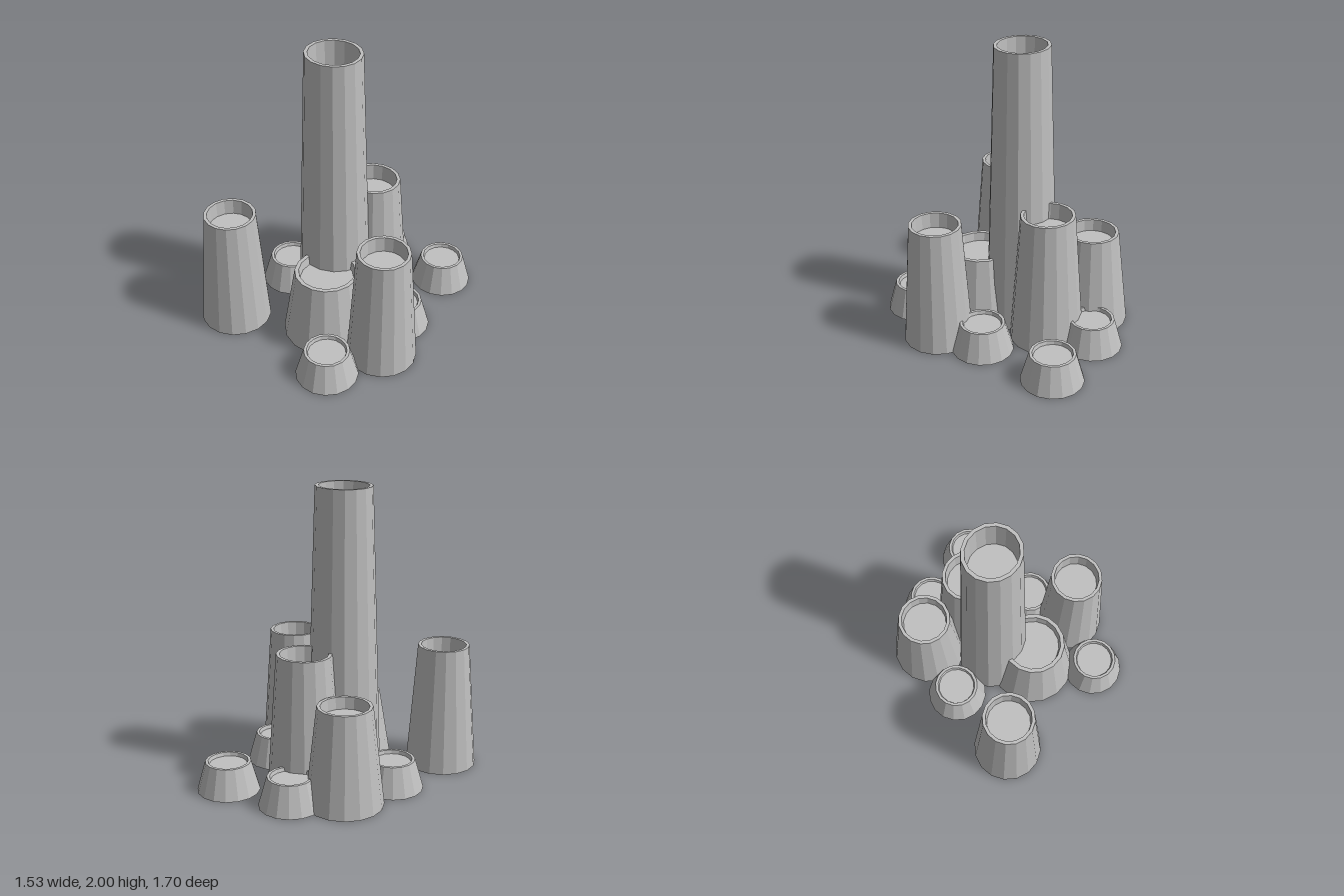
import * as THREE from 'three';

const SIDES = 16;
const FLAT = Math.cos(Math.PI / SIDES); // distance to a flat side / distance to a corner

// Tapered chimney with a rim and a recessed mouth; flat sides face both the x and z axes
function chimney(base, top, height) {
  const profile = [
    [0, 0],
    [base, 0],
    [top, height],
    [top * 0.875, height],
    [top * 0.83, height * 0.88],
    [0, height * 0.88],
  ].map(([r, y]) => new THREE.Vector2(r / FLAT, y));
  return new THREE.LatheGeometry(profile, SIDES, Math.PI / SIDES);
}

export function createModel() {
  const group = new THREE.Group();
  const stone = new THREE.MeshStandardMaterial({ color: 0xc0c0c0, flatShading: true });
  stone.name = 'pale grey stone';

  // name, x, z, base half width, top half width, height, depth ratio (z extent / x extent)
  const vents = [
    ['tallChimney', -0.06, 0.011, 0.253, 0.188, 2.0, 0.95],
    ['backRightChimney', -0.335, -0.385, 0.254, 0.178, 0.68, 1],
    ['backChimney', 0.045, -0.295, 0.252, 0.184, 0.93, 0.96],
    ['wideChimney', 0.075, 0.275, 0.295, 0.215, 0.5, 1],
    ['leftChimney', 0.53, 0.265, 0.232, 0.173, 0.87, 1],
    ['frontRightChimney', -0.528, 0.548, 0.239, 0.173, 0.87, 1],
    ['backVent', -0.057, -0.6, 0.207, 0.15, 0.205, 1],
    ['backLeftVent', 0.425, -0.643, 0.207, 0.15, 0.205, 1],
    ['rightVent', -0.459, 0, 0.207, 0.15, 0.205, 1],
    ['leftVent', 0.447, -0.063, 0.207, 0.15, 0.205, 1],
    ['frontVent', 0.35, 0.638, 0.207, 0.15, 0.205, 1],
  ];

  for (const [name, x, z, base, top, height, ratio] of vents) {
    const mesh = new THREE.Mesh(chimney(base, top, height), stone);
    mesh.name = name;
    mesh.position.set(x, 0, z);
    mesh.scale.z = ratio;
    group.add(mesh);
  }
  return group;
}
